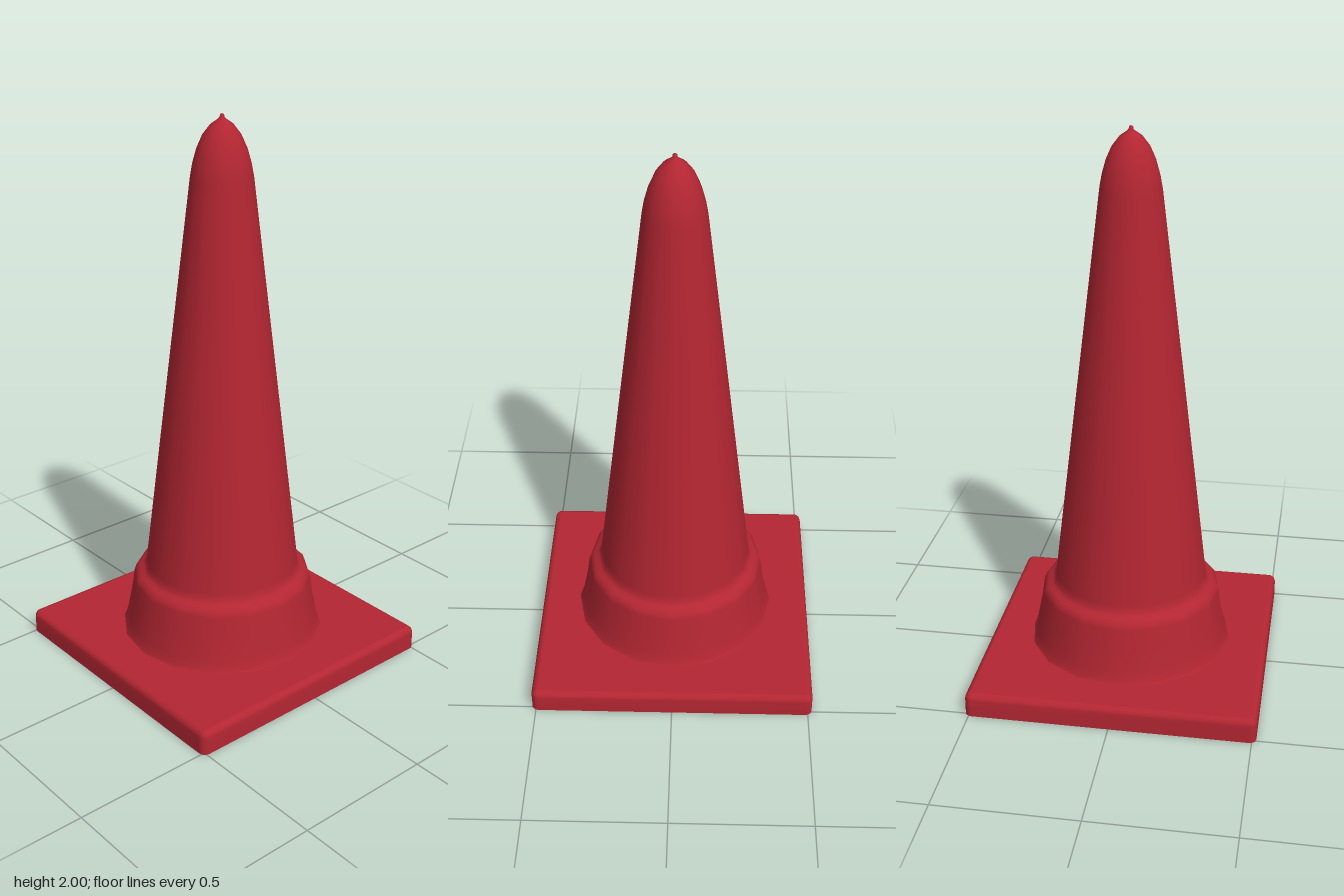
import * as THREE from 'three';

const SIDES = 16;
const HALF = 0.515; // half width of the base
const HOLE = 0.372; // radius where the cone meets the base

// Rounded square outline, counter-clockwise, pulled in by `inset`
function squareOutline(inset) {
  const r = 0.025;
  const pts = [];
  for (let corner = 0; corner < 4; corner++) {
    const mid = Math.PI / 4 + corner * Math.PI / 2;
    const cx = Math.sign(Math.cos(mid)) * (HALF - r);
    const cy = Math.sign(Math.sin(mid)) * (HALF - r);
    for (let i = 0; i <= 4; i++) {
      const a = corner * Math.PI / 2 + i * Math.PI / 8;
      pts.push(new THREE.Vector2(cx + (r - inset) * Math.cos(a), cy + (r - inset) * Math.sin(a)));
    }
  }
  return pts;
}

// Skin a stack of [inset, y] outlines into a band
function loftSquare(levels) {
  const position = [], index = [];
  let n = 0;
  for (const [inset, y] of levels) {
    const loop = squareOutline(inset);
    n = loop.length;
    for (const p of loop) position.push(p.x, y, -p.y);
  }
  for (let k = 0; k < levels.length - 1; k++) {
    for (let i = 0; i < n; i++) {
      const j = (i + 1) % n;
      const a = k * n + i, b = k * n + j;
      index.push(a, b, b + n, a, b + n, a + n);
    }
  }
  const geo = new THREE.BufferGeometry();
  geo.setAttribute('position', new THREE.Float32BufferAttribute(position, 3));
  geo.setIndex(index);
  geo.computeVertexNormals();
  return geo;
}

export function createModel() {
  const group = new THREE.Group();
  group.name = 'trafficCone';
  const red = new THREE.MeshStandardMaterial({ color: 0xb32632, side: THREE.DoubleSide });
  red.name = 'coneRed';

  const add = (name, geometry) => {
    const mesh = new THREE.Mesh(geometry, red);
    mesh.name = name;
    group.add(mesh);
  };

  // Hollow cone: flared collar, step, tapering body, domed top and small nub
  const profile = [
    [HOLE, 0.086], [0.366, 0.095], [0.357, 0.125], [0.338, 0.22], [0.329, 0.285],
    [0.322, 0.305], [0.308, 0.316], [0.294, 0.322], [0.285, 0.333], [0.28, 0.355],
    [0.194, 1.07], [0.107, 1.79], [0.099, 1.835], [0.085, 1.885], [0.065, 1.93],
    [0.038, 1.965], [0.012, 1.983], [0.008, 1.988], [0.007, 1.996], [0, 2.0],
  ].map(([r, y]) => new THREE.Vector2(r, y));
  add('coneBody', new THREE.LatheGeometry(profile, SIDES));

  // Base skirt with a softened upper edge, open underneath
  add('baseSkirt', loftSquare([
    [0, 0], [0, 0.03], [0, 0.064], [0.003, 0.074], [0.01, 0.082], [0.02, 0.086], [0.024, 0.086],
  ]));

  // Flat base top with an opening under the cone
  const plate = new THREE.Shape(squareOutline(0.02));
  const opening = [];
  for (let i = 0; i < SIDES; i++) {
    const a = -i * 2 * Math.PI / SIDES;
    opening.push(new THREE.Vector2(HOLE * Math.cos(a), HOLE * Math.sin(a)));
  }
  plate.holes.push(new THREE.Path(opening));
  add('baseTop', new THREE.ShapeGeometry(plate).rotateX(-Math.PI / 2).translate(0, 0.086, 0));

  return group;
}
